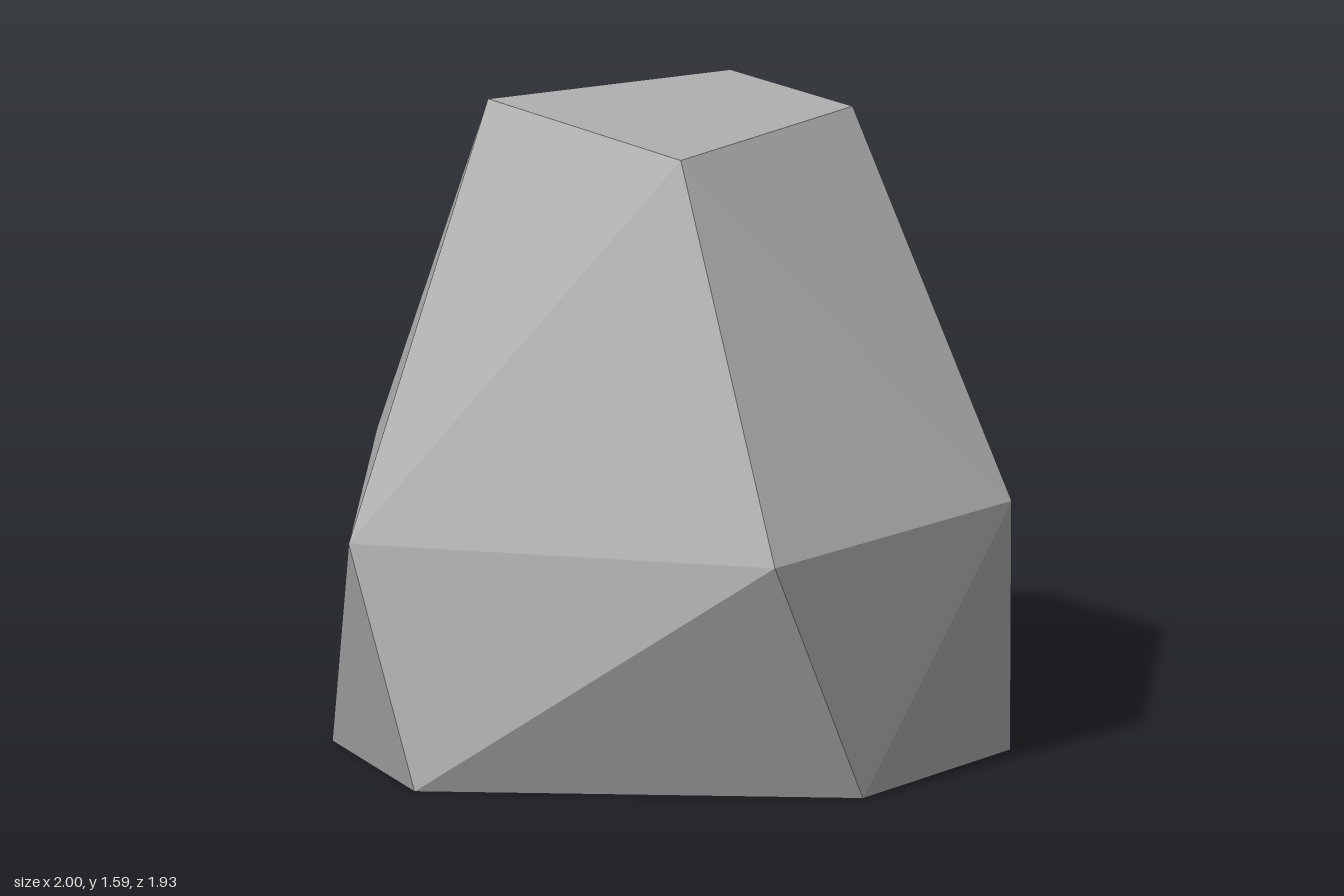
import * as THREE from 'three';

// Rings of corners [x, y, z], counter-clockwise seen from above
const base = [[-0.99, 0, 0.08], [-0.27, 0, 0.96], [0.4, 0, 0.84],
  [0.995, 0, -0.36], [0.2, 0, -0.97], [-0.7, 0, -0.48]];
const middle = [[-0.6, 0.65, 0.965], [0.32, 0.67, 0.92], [1, 0.66, 0.14],
  [0.655, 0.625, -0.91], [-0.08, 0.645, -0.91], [-1, 0.61, -0.14]];
const crown = [[-0.38, 1.59, 0.43], [0.38, 1.59, 0.31],
  [0.48, 1.59, -0.21], [-0.19, 1.59, -0.42]];

// Triangles between two rings; each step advances the lower (L) or upper (U) ring
function stitch(lower, upper, steps) {
  const tris = [];
  let i = 0, j = 0;
  for (const step of steps) {
    const lo = lower[i % lower.length], up = upper[j % upper.length];
    if (step === 'L') tris.push(lo, lower[++i % lower.length], up);
    else tris.push(lo, upper[++j % upper.length], up);
  }
  return tris;
}

// Flat polygon as a triangle fan
function cap(ring) {
  const tris = [];
  for (let i = 1; i < ring.length - 1; i++) tris.push(ring[0], ring[i], ring[i + 1]);
  return tris;
}

export function createModel() {
  const stone = new THREE.MeshStandardMaterial({ color: 0xb0b0b0 });
  stone.name = 'stoneGrey';
  stone.flatShading = true;

  const group = new THREE.Group();
  group.name = 'rock';

  const addPart = (name, tris) => {
    const geometry = new THREE.BufferGeometry();
    geometry.setAttribute('position', new THREE.Float32BufferAttribute(tris.flat(), 3));
    geometry.computeVertexNormals();
    const mesh = new THREE.Mesh(geometry, stone);
    mesh.name = name;
    group.add(mesh);
  };

  addPart('underside', cap([...base].reverse()));
  addPart('lowerFacets', stitch(base, middle, 'LULULULULULU'));
  addPart('upperFacets', stitch(middle, crown, 'LULULULLUL'));
  addPart('flatTop', cap(crown));
  return group;
}
